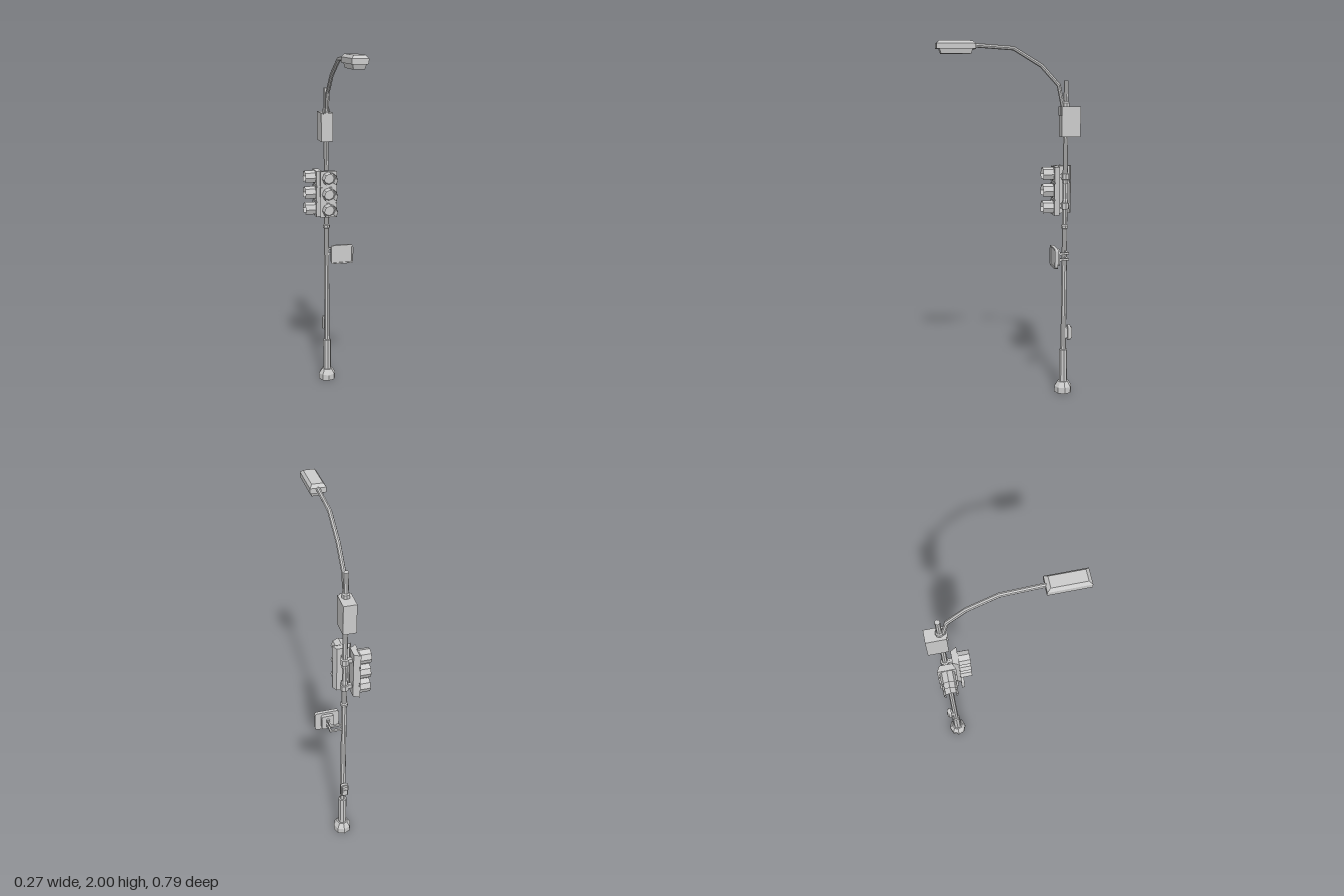
import * as THREE from 'three';

const PX = -0.007, PZ = -0.319; // pole axis

const mat = new THREE.MeshStandardMaterial({ color: 0xcccccc, flatShading: true });
const openMat = new THREE.MeshStandardMaterial({ color: 0xcccccc, flatShading: true, side: THREE.DoubleSide });

function add(parent, name, geo, x = 0, y = 0, z = 0, material = mat) {
  const mesh = new THREE.Mesh(geo, material);
  mesh.name = name;
  mesh.position.set(x, y, z);
  parent.add(mesh);
  return mesh;
}

const box = (w, h, d) => new THREE.BoxGeometry(w, h, d);

// Eight-sided turned part from [radius, y] pairs
const turned = (pts) => new THREE.LatheGeometry(pts.map(([r, y]) => new THREE.Vector2(r, y)), 8);

// Box whose vertices on the negative or positive side of an axis are scaled inwards
function taperedBox(w, h, d, axis, sign, sx, sy, sz) {
  const geo = box(w, h, d), p = geo.attributes.position, v = new THREE.Vector3();
  for (let i = 0; i < p.count; i++) {
    v.fromBufferAttribute(p, i);
    if (v[axis] * sign > 0) p.setXYZ(i, v.x * sx, v.y * sy, v.z * sz);
  }
  geo.computeVertexNormals();
  return geo;
}

function roundedRect(target, w, h, r) {
  const a = w / 2, b = h / 2;
  target.moveTo(-a + r, -b).lineTo(a - r, -b).quadraticCurveTo(a, -b, a, -b + r)
    .lineTo(a, b - r).quadraticCurveTo(a, b, a - r, b)
    .lineTo(-a + r, b).quadraticCurveTo(-a, b, -a, b - r)
    .lineTo(-a, -b + r).quadraticCurveTo(-a, -b, -a + r, -b);
  return target;
}

function plate(w, h, r, depth, hole) {
  const shape = roundedRect(new THREE.Shape(), w, h, r);
  if (hole) shape.holes.push(roundedRect(new THREE.Path(), w - hole, h - hole, r * 0.6));
  return new THREE.ExtrudeGeometry(shape, { depth, bevelEnabled: false, curveSegments: 3 });
}

// Three-lamp signal facing +z, origin on the pole axis
function trafficSignal(name) {
  const g = new THREE.Group();
  g.name = name;
  add(g, 'signalHousing', taperedBox(0.098, 0.27, 0.03, 'z', -1, 0.68, 1, 1), 0, 0, 0.052);
  for (const y of [-0.094, 0, 0.094]) {
    add(g, 'lampDoor', box(0.1, 0.084, 0.006), 0, y, 0.068);
    const lens = new THREE.CylinderGeometry(0.03, 0.037, 0.008, 8);
    add(g, 'lens', lens, 0, y, 0.074).rotation.x = Math.PI / 2;
    // hood open at the bottom quarter
    const hood = new THREE.CylinderGeometry(0.04, 0.04, 0.062, 6 + 0, 1, true, Math.PI / 4, Math.PI * 1.5);
    add(g, 'visor', hood, 0, y, 0.101, openMat).rotation.x = Math.PI / 2;
  }
  for (const y of [-0.085, 0.082]) add(g, 'mountArm', box(0.022, 0.022, 0.04), 0, y, 0.03);
  return g;
}

export function createModel() {
  const model = new THREE.Group();
  model.name = 'streetLightWithSignals';

  // Base, sleeve and pole
  add(model, 'base', turned([[0, 0], [0.051, 0], [0.051, 0.035], [0.032, 0.065], [0.024, 0.065],
    [0.024, 0.255], [0.016, 0.258]]), PX, 0, PZ);
  add(model, 'pole', new THREE.CylinderGeometry(0.0135, 0.0165, 1.54, 8), PX, 1.02, PZ);
  add(model, 'poleRing', turned([[0.014, 0.963], [0.021, 0.97], [0.021, 0.984], [0.014, 0.991]]), PX, 0, PZ);

  // Clamps that carry the signals
  for (const [y, s] of [[1.262, 1], [1.095, -1]]) {
    const profile = [[0.014, -0.042], [0.018, -0.034], [0.018, -0.018], [0.024, -0.016], [0.024, 0.016], [0.014, 0.018]];
    const pts = s > 0 ? profile : profile.map(([r, h]) => [r, -h]).reverse();
    add(model, 'signalClamp', turned(pts), PX, y, PZ);
  }

  // Two signals, one to the front and one to the right
  const front = trafficSignal('frontSignal');
  front.position.set(PX - 0.002, 1.183, PZ);
  const side = trafficSignal('sideSignal');
  side.position.set(PX, 1.183, PZ);
  side.rotation.y = -Math.PI / 2;
  model.add(front, side);

  // Control cabinet and arm bracket
  add(model, 'cabinet', box(0.07, 0.165, 0.106), PX, 1.567, -0.342);
  add(model, 'armBracket', box(0.046, 0.05, 0.012), PX, 1.625, -0.288);
  add(model, 'armCollar', turned([[0.014, 1.648], [0.021, 1.65], [0.021, 1.67], [0.014, 1.676]]), PX, 0, PZ);

  // Curved lamp arm with straight facets
  const path = new THREE.CatmullRomCurve3([[1.64, -0.303], [1.765, -0.277], [1.87, -0.18], [1.962, -0.025], [1.977, 0.2]]
    .map(([y, z]) => new THREE.Vector3(PX, y, z)));
  path.getPointAt = (u, t) => path.getPoint(u, t);
  path.getTangentAt = (u, t) => path.getTangent(u, t);
  add(model, 'lampArm', new THREE.TubeGeometry(path, 4, 0.012, 8), 0, 0, 0, openMat);

  // Lamp head
  const head = new THREE.Group();
  head.name = 'lampHead';
  head.position.set(PX, 0, 0.29);
  add(head, 'lampCover', taperedBox(0.086, 0.016, 0.21, 'y', 1, 0.7, 1, 0.83), 0, 1.992, 0);
  add(head, 'lampBody', box(0.086, 0.028, 0.21), 0, 1.97, 0);
  add(head, 'lampLens', taperedBox(0.07, 0.026, 0.178, 'y', -1, 0.84, 1, 0.9), 0, 1.943, 0);
  model.add(head);

  // Pedestrian sign on two bent arms
  const sign = new THREE.Group();
  sign.name = 'pedestrianSign';
  sign.position.set(0.068, 0.82, 0);
  add(sign, 'signPanel', plate(0.128, 0.108, 0.014, 0.012), 0, 0, -0.25);
  add(sign, 'signFrame', plate(0.134, 0.114, 0.016, 0.018, 0.016), 0, 0, -0.25);
  add(sign, 'signBack', plate(0.066, 0.088, 0.012, 0.019), 0, 0, -0.269);
  for (const y of [-0.017, 0.017]) {
    add(sign, 'signArm', box(0.078, 0.011, 0.011), -0.035, y, -0.321);
    add(sign, 'signArmEnd', box(0.009, 0.011, 0.05), 0, y, -0.295);
    add(sign, 'signFlange', box(0.018, 0.016, 0.012), 0, y, -0.275);
  }
  model.add(sign);

  // Small access box on the back of the pole
  const access = new THREE.Group();
  access.name = 'accessBox';
  access.position.set(PX - 0.001, 0.356, 0);
  add(access, 'boxMount', box(0.026, 0.06, 0.02), 0, 0, -0.336);
  add(access, 'boxBody', plate(0.042, 0.086, 0.012, 0.016), 0, 0, -0.357);
  add(access, 'boxCover', taperedBox(0.034, 0.07, 0.01, 'z', -1, 0.85, 0.9, 1), 0, 0, -0.361);
  add(access, 'button', new THREE.CylinderGeometry(0.008, 0.008, 0.006, 8), 0, 0.005, -0.366).rotation.x = Math.PI / 2;
  model.add(access);

  return model;
}
